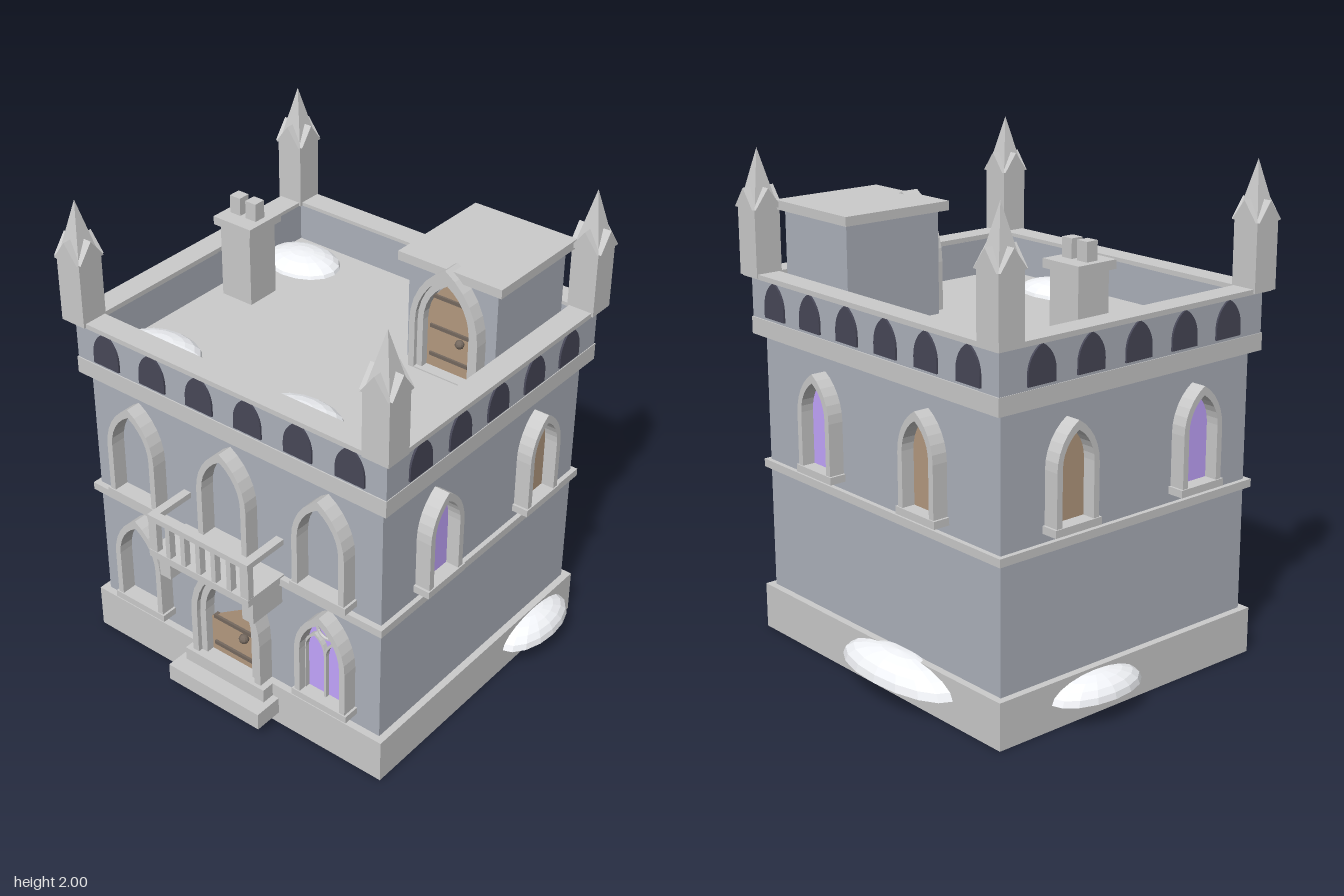
import * as THREE from 'three';

const mat = (color) => new THREE.MeshStandardMaterial({ color, flatShading: true, side: THREE.DoubleSide });
const trim = mat(0xcccccc), wall = mat(0xadb2bc), dark = mat(0x484858);
const purple = mat(0xc4a6ff), wood = mat(0xb59a80), iron = mat(0x75695f), snow = mat(0xf4f6fa);
const ROOF = 1.345, ZC = -0.025;

function add(parent, name, geometry, material, x = 0, y = 0, z = 0) {
  const m = new THREE.Mesh(geometry, material);
  m.name = name;
  m.position.set(x, y, z);
  parent.add(m);
  return m;
}

// Box given by its extents
function box(parent, name, material, [x0, x1], [y0, y1], [z0, z1]) {
  return add(parent, name, new THREE.BoxGeometry(x1 - x0, y1 - y0, z1 - z0), material,
    (x0 + x1) / 2, (y0 + y1) / 2, (z0 + z1) / 2);
}

function group(parent, name, x, y, z, turn = 0) {
  const g = new THREE.Group();
  g.name = name;
  g.position.set(x, y, z);
  g.rotation.y = turn;
  parent.add(g);
  return g;
}

const extrude = (shape, depth) => new THREE.ExtrudeGeometry(shape, { depth, bevelEnabled: false });

// Pointed arch outline: width w, total height h, two arcs meeting at the apex
function lancet(w, h, y0 = 0, rise = w * 0.866, Type = THREE.Shape) {
  const a = w / 2, r = (a * a + rise * rise) / (2 * a), end = Math.asin(rise / r);
  const spring = h - rise, pts = [new THREE.Vector2(-a, y0), new THREE.Vector2(a, y0)];
  const n = 6;
  for (let i = 0; i <= n; i++) {
    const t = end * i / n;
    pts.push(new THREE.Vector2(a - r + r * Math.cos(t), spring + r * Math.sin(t)));
  }
  for (let i = n - 1; i >= 0; i--) {
    const t = end * i / n;
    pts.push(new THREE.Vector2(r - a - r * Math.cos(t), spring + r * Math.sin(t)));
  }
  return new Type(pts);
}

// Pointed arch border of thickness t
function archFrame(w, h, t, depth) {
  const s = lancet(w, h);
  s.holes.push(lancet(w - 2 * t, h - t * 1.4, 0.006, (w - 2 * t) * 0.866, THREE.Path));
  return extrude(s, depth);
}

// Rectangular border with an open middle, lying flat
function band(parent, name, material, outX, outZ, inX, inZ, y0, y1) {
  const s = new THREE.Shape([[-outX, -outZ], [outX, -outZ], [outX, outZ], [-outX, outZ]].map(p => new THREE.Vector2(...p)));
  s.holes.push(new THREE.Path([[-inX, -inZ], [-inX, inZ], [inX, inZ], [inX, -inZ]].map(p => new THREE.Vector2(...p))));
  add(parent, name, extrude(s, y1 - y0).rotateX(-Math.PI / 2), material, 0, y0, ZC);
}

// Window with projecting frame and sill; local +z points out of the wall
function archWindow(parent, name, w, h, x, y, z, turn, glass) {
  const g = group(parent, name, x, y, z, turn);
  add(g, 'windowFrame', archFrame(w, h, 0.026, 0.08), trim, 0, 0, -0.015);
  box(g, 'windowSill', trim, [-w / 2 - 0.01, w / 2 + 0.01], [-0.022, 0.008], [-0.01, 0.07]);
  if (glass) add(g, 'windowPane', extrude(lancet(w - 0.04, h - 0.03), 0.015), glass, 0, 0, -0.005);
  return g;
}

// Doorway with two nested arches, door leaf, iron bands and knob
function doorway(parent, name, x, y, z, scale, leaf, bars) {
  const g = group(parent, name, x, y, z);
  g.scale.setScalar(scale);
  add(g, 'outerArch', archFrame(0.355, 0.53, 0.03, 0.09), trim, 0, 0, -0.02);
  add(g, 'innerArch', archFrame(0.297, 0.488, 0.03, 0.07), trim, 0, 0, -0.02);
  add(g, 'doorLeaf', extrude(leaf, 0.02), wood, 0, 0, -0.005);
  for (const b of bars) box(g, 'doorBand', iron, [-0.1, 0.1], [b - 0.008, b + 0.008], [0, 0.025]);
  add(g, 'doorKnob', new THREE.SphereGeometry(0.021, 10, 8), iron, 0.06, 0.175, 0.028);
}

function snowPile(parent, x, y, z, rx, ry, rz) {
  const pts = [new THREE.Vector2(0, 0)];
  for (let i = 0; i <= 5; i++) {
    const t = i / 5 * Math.PI / 2;
    pts.push(new THREE.Vector2(Math.max(0, Math.cos(t)), Math.sin(t)));
  }
  add(parent, 'snowPile', new THREE.LatheGeometry(pts, 16), snow, x, y, z).scale.set(rx, ry, rz);
}

export function createModel() {
  const model = new THREE.Group();
  model.name = 'castleHouse';

  // Plinth, walls and mouldings
  box(model, 'plinth', trim, [-0.74, 0.74], [0, 0.19], [-0.68, 0.635]);
  box(model, 'walls', wall, [-0.71, 0.71], [0.19, 1.3], [-0.65, 0.605]);
  box(model, 'stringCourse', trim, [-0.73, 0.73], [0.702, 0.735], [-0.67, 0.63]);
  box(model, 'cornice', trim, [-0.748, 0.748], [1.26, 1.33], [-0.69, 0.64]);
  box(model, 'roof', trim, [-0.7, 0.7], [1.3, ROOF], [-0.64, 0.59]);

  // Parapet with dark arched niches
  band(model, 'parapet', wall, 0.745, 0.66, 0.67, 0.585, 1.33, 1.5);
  band(model, 'parapetCap', trim, 0.77, 0.685, 0.67, 0.585, 1.495, 1.515);
  const niche = extrude(lancet(0.13, 0.148, 0, 0.105), 0.02);
  for (const s of [1, -1]) {
    for (let i = 0; i < 6; i++) {
      const m = add(model, 'niche', niche, dark, (i - 2.5) * 0.235, 1.343, ZC + s * 0.648);
      m.rotation.y = s > 0 ? 0 : Math.PI;
    }
    for (let i = 0; i < 5; i++)
      add(model, 'niche', niche, dark, s * 0.733, 1.343, ZC + (i - 2) * 0.235).rotation.y = s * Math.PI / 2;
  }

  // Corner pinnacles
  const gable = extrude(new THREE.Shape([new THREE.Vector2(-0.06, 0), new THREE.Vector2(0.06, 0), new THREE.Vector2(0, 0.08)]), 0.04);
  const spire = new THREE.ConeGeometry(0.076, 0.23, 4).rotateY(Math.PI / 4);
  for (const x of [-0.72, 0.72]) for (const z of [-0.657, 0.613]) {
    const p = group(model, 'pinnacle', x, 1.5, z);
    box(p, 'pinnacleShaft', trim, [-0.058, 0.058], [0, 0.27], [-0.058, 0.058]);
    add(p, 'spire', spire, trim, 0, 0.385, 0);
    for (let i = 0; i < 4; i++) {
      const side = group(p, 'gableSide', 0, 0.27, 0, i * Math.PI / 2);
      add(side, 'gable', gable, trim, 0, 0, 0.03);
    }
  }

  // Front windows, the last one with tracery
  for (const x of [-0.465, 0, 0.465]) archWindow(model, 'upperFrontWindow', 0.245, 0.425, x, 0.79, 0.605, 0);
  archWindow(model, 'lowerFrontWindow', 0.245, 0.42, -0.467, 0.265, 0.605, 0);
  const tw = archWindow(model, 'traceryWindow', 0.245, 0.42, 0.47, 0.265, 0.605, 0, purple);
  for (const x of [-0.049, 0.049]) add(tw, 'traceryArch', archFrame(0.108, 0.3, 0.01, 0.025), trim, x, 0, 0.005);
  add(tw, 'traceryRing', new THREE.TorusGeometry(0.042, 0.007, 6, 20), trim, 0, 0.335, 0.02);

  // Side and back windows
  for (const s of [1, -1]) {
    archWindow(model, 'sideWindow', 0.205, 0.395, s * 0.71, 0.793, 0.3, s * Math.PI / 2, purple);
    archWindow(model, 'sideWindow', 0.205, 0.395, s * 0.71, 0.793, -0.34, s * Math.PI / 2, wood);
    archWindow(model, 'backWindow', 0.205, 0.395, s * 0.315, 0.793, -0.65, Math.PI, s > 0 ? purple : wood);
  }

  // Entrance and steps
  const brokenLeaf = new THREE.Shape([[-0.12, 0.02], [0.12, 0.02], [0.12, 0.29], [0.1, 0.335], [-0.12, 0.19]].map(p => new THREE.Vector2(...p)));
  doorway(model, 'frontDoor', 0, 0.165, 0.605, 1, brokenLeaf, [0.07, 0.205]);
  box(model, 'lowerStep', trim, [-0.235, 0.235], [0.055, 0.13], [0.6, 0.76]);
  box(model, 'upperStep', trim, [-0.205, 0.205], [0.13, 0.19], [0.6, 0.69]);

  // Balcony
  const balcony = group(model, 'balcony', 0, 0, 0);
  box(balcony, 'balconyFloor', trim, [-0.25, 0.25], [0.71, 0.742], [0.6, 0.81]);
  box(balcony, 'frontRail', trim, [-0.25, 0.25], [0.882, 0.907], [0.775, 0.81]);
  for (let i = 0; i < 7; i++) {
    const x = (i - 3) * 0.0765, w = i % 6 ? 0.011 : 0.02;
    box(balcony, 'baluster', trim, [x - w, x + w], [0.74, 0.885], [0.778, 0.807]);
  }
  for (const s of [-1, 1]) {
    const span = (a, b) => s > 0 ? [a, b] : [-b, -a];
    box(balcony, 'sideRail', trim, span(0.215, 0.25), [0.882, 0.907], [0.6, 0.78]);
    box(balcony, 'bracket', trim, span(0.183, 0.238), [0.6, 0.71], [0.6, 0.772]);
  }

  // Chimney
  const chimney = group(model, 'chimney', -0.54, 0, -0.127);
  box(chimney, 'chimneyShaft', trim, [-0.075, 0.075], [1.33, 1.67], [-0.075, 0.075]);
  box(chimney, 'chimneyCap', trim, [-0.095, 0.095], [1.66, 1.695], [-0.093, 0.093]);
  for (const x of [-0.04, 0.04]) box(chimney, 'chimneyPot', trim, [x - 0.026, x + 0.026], [1.69, 1.77], [-0.026, 0.026]);

  // Rooftop stair house
  box(model, 'stairHouse', wall, [0.245, 0.645], [1.33, 1.765], [-0.585, -0.145]);
  box(model, 'stairHouseRoof', trim, [0.21, 0.675], [1.76, 1.797], [-0.612, -0.118]);
  doorway(model, 'roofDoor', 0.445, ROOF, -0.15, 0.873, lancet(0.235, 0.44), [0.07, 0.21, 0.36]);

  // Snow on the roof and along the plinth
  snowPile(model, -0.53, ROOF - 0.005, -0.45, 0.175, 0.06, 0.135);
  snowPile(model, -0.505, ROOF - 0.005, 0.43, 0.185, 0.06, 0.132);
  snowPile(model, 0.205, ROOF - 0.005, 0.45, 0.19, 0.06, 0.13);
  snowPile(model, 0.735, 0.1, -0.395, 0.11, 0.085, 0.215);
  snowPile(model, -0.735, 0.1, -0.21, 0.12, 0.08, 0.22);
  snowPile(model, -0.155, 0.1, -0.68, 0.32, 0.1, 0.125);

  return model;
}
